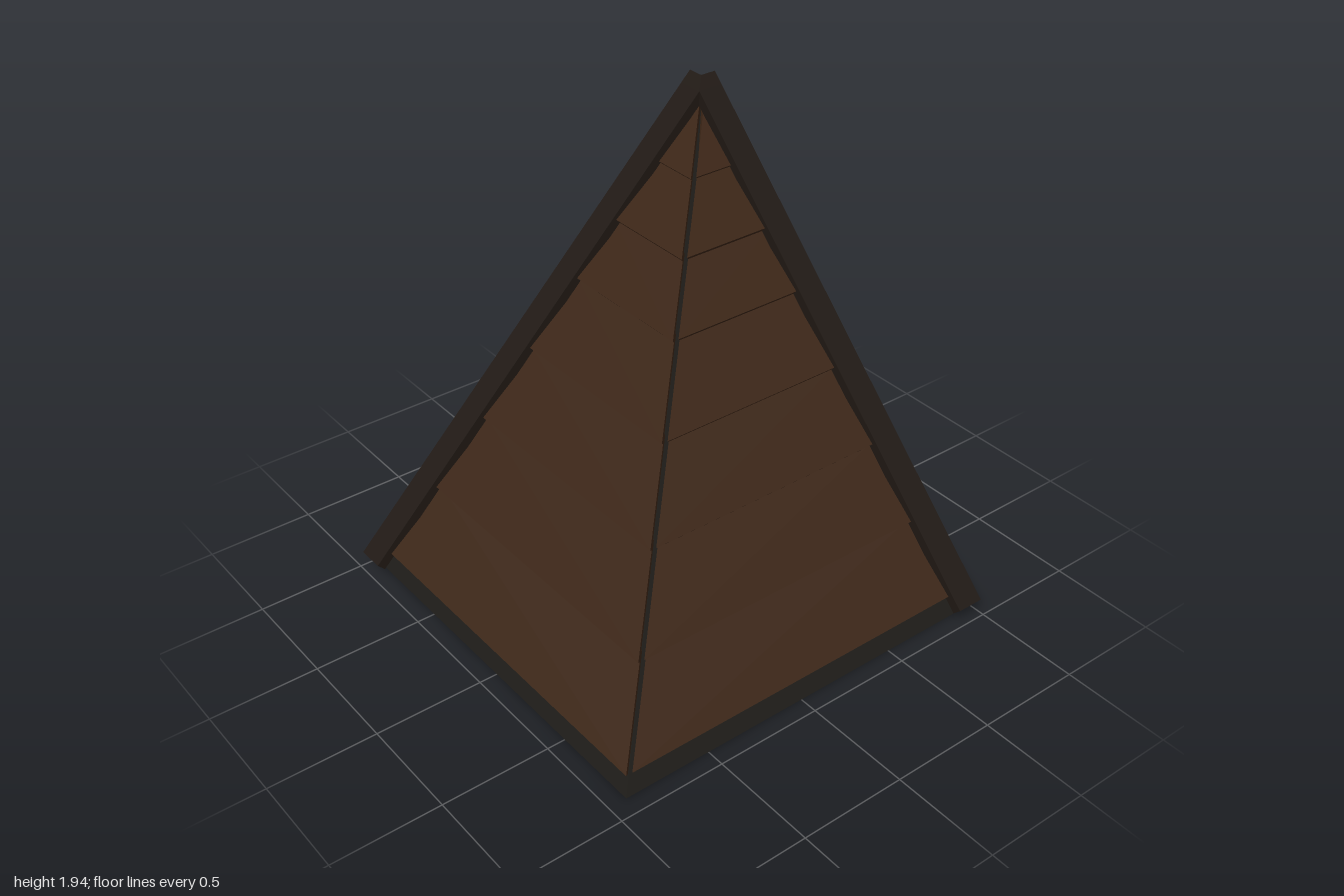
import * as THREE from 'three';
import { ConvexGeometry } from 'three/addons/geometries/ConvexGeometry.js';

const EDGE = 0.985, EAVE = 0.915, SLOPE = 0.99;

const material = (color) => new THREE.MeshStandardMaterial({ color, flatShading: true, roughness: 0.9 });
const plankMaterial = material(0x3a2415);
const trimMaterial = material(0x1f1813);
const coreMaterial = material(0x1a1814);

// Loft of four-cornered sections, ordered from the eave to the peak.
// Each section: top and bottom [z, y], left x as a function of z, right x.
// mirror reflects the part across the hip, onto the other slope.
function loft(sections, leftX, rightX, mirror) {
  const rings = sections.map(([[tz, ty], [bz, by]]) => [
    [leftX(tz), ty, tz], [rightX, ty, tz], [rightX, by, bz], [leftX(bz), by, bz],
  ]);
  const positions = [];
  const quad = (a, b, c, d) => {
    const corners = [a, b, c, a, c, d];
    if (mirror) corners.reverse();
    for (const [x, y, z] of corners) positions.push(...(mirror ? [-z, y, -x] : [x, y, z]));
  };
  const first = rings[0], last = rings[rings.length - 1];
  quad(first[3], first[2], first[1], first[0]);
  quad(...last);
  for (let k = 0; k + 1 < rings.length; k++) {
    for (let i = 0; i < 4; i++) {
      const j = (i + 1) % 4;
      quad(rings[k][i], rings[k][j], rings[k + 1][j], rings[k + 1][i]);
    }
  }
  const geometry = new THREE.BufferGeometry();
  geometry.setAttribute('position', new THREE.Float32BufferAttribute(positions, 3));
  geometry.computeVertexNormals();
  return geometry;
}

// Point raised by n off the slope, whose z before raising is z
const raised = (z, n) => [z + n * 0.7, SLOPE * (EAVE - z) + n * 0.7];

export function createModel() {
  const model = new THREE.Group();
  const add = (name, geometry, mat, parent) => {
    const mesh = new THREE.Mesh(geometry, mat);
    mesh.name = name;
    parent.add(mesh);
  };

  // Solid core: square base, two upright walls, two slopes
  const peak = SLOPE * (EAVE + EDGE);
  add('roofCore', new ConvexGeometry([
    [-EAVE, 0, EAVE], [EDGE, 0, EAVE], [EDGE, 0, -EDGE], [-EAVE, 0, -EDGE], [EDGE, peak, -EDGE],
  ].map((p) => new THREE.Vector3(...p))), coreMaterial, model);

  const rows = [0.91, 0.65, 0.38, 0.11, -0.16, -0.385, -0.63];
  const thick = 0.045;
  for (const mirror of [false, true]) {
    const slope = new THREE.Group();
    slope.name = mirror ? 'sideSlope' : 'frontSlope';
    model.add(slope);

    // Overlapping planks: lower edge lifted, upper edge tucked under the next
    rows.forEach((z, i) => {
      const topRow = i === rows.length - 1;
      const lift = topRow ? 0.06 : 0.078;
      const low = z - lift * 0.7;
      const high = topRow ? -EDGE : rows[i + 1] - 0.08;
      const gap = mirror ? 0 : 0.03;
      const sections = [
        [raised(low, lift), raised(low, lift - thick)],
        [raised(high, 0.035), raised(high, 0.035 - thick)],
      ];
      const leftX = (pz) => Math.min(0.987, -pz + gap);
      add(`plank${i + 1}`, loft(sections, leftX, 0.988, mirror), plankMaterial, slope);
    });

    // Verge board along the wall edge, mitred at the hip
    const top = (z) => [z, 0.08 + (0.985 - z) * 0.9815];
    const bottom = (z) => [z, 0.045 + (0.95 - z) * 0.9815];
    const board = [
      [top(0.985), bottom(0.95)],
      [top(-0.86), bottom(-0.86)],
      [top(-0.91), bottom(-0.945)],
    ];
    add('vergeBoard', loft(board, (z) => Math.max(0.86, -z), 0.99, mirror), trimMaterial, slope);
  }
  return model;
}
